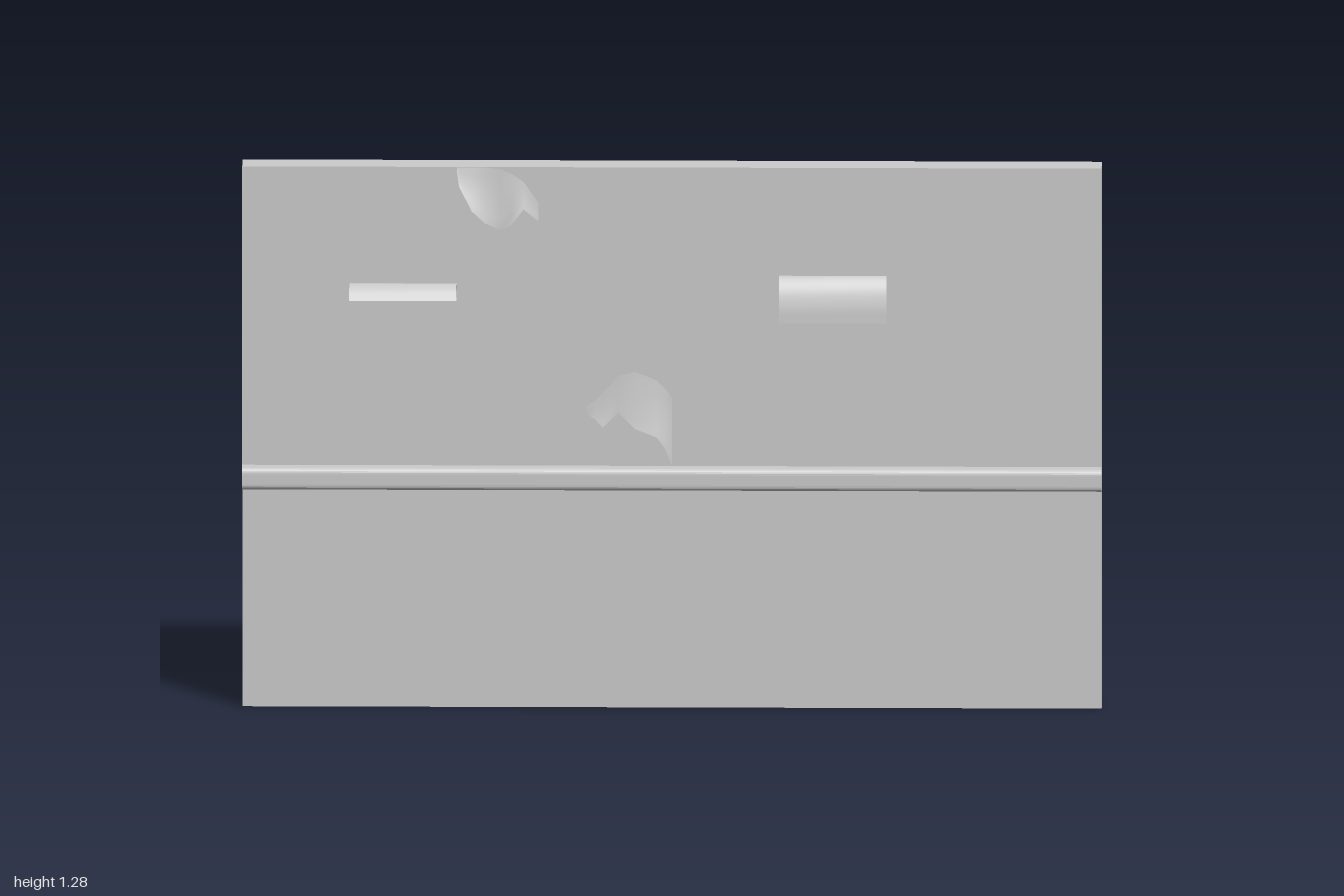
import * as THREE from 'three';

const grey = new THREE.MeshStandardMaterial({ color: 0xcccccc });
const sheetGrey = new THREE.MeshStandardMaterial({ color: 0xcccccc, side: THREE.DoubleSide });

function add(group, name, geometry, material = grey) {
  const mesh = new THREE.Mesh(geometry, material);
  mesh.name = name;
  group.add(mesh);
  return mesh;
}

// Box given by its low and high corners
function boxBetween(a, b) {
  const g = new THREE.BoxGeometry(b[0] - a[0], b[1] - a[1], b[2] - a[2]);
  return g.translate((a[0] + b[0]) / 2, (a[1] + b[1]) / 2, (a[2] + b[2]) / 2);
}

// Smooth sheet through rows of equally many points
function sheet(rows) {
  const n = rows[0].length;
  const index = [];
  for (let r = 0; r < rows.length - 1; r++) {
    for (let i = 0; i < n - 1; i++) {
      const a = r * n + i, b = a + 1, c = a + n, d = c + 1;
      index.push(a, b, d, a, d, c);
    }
  }
  const g = new THREE.BufferGeometry();
  g.setAttribute('position', new THREE.Float32BufferAttribute(rows.flat(2), 3));
  g.setIndex(index);
  g.computeVertexNormals();
  return g;
}

// Strip of paper curling off the wall; profile points are [z, y]
function curl(x0, x1, profile) {
  const curve = new THREE.CatmullRomCurve3(profile.map(([z, y]) => new THREE.Vector3(0, y, z)));
  const pts = curve.getPoints(20).reverse();
  return sheet(pts.map(p => [[x0, p.y, p.z], [x1, p.y, p.z]]));
}

// Torn paper: a raised ragged lower edge that blends into the wall above it
function tear(edge, topY) {
  const steps = 6;
  const rows = [];
  for (let r = 0; r <= steps; r++) {
    const t = r / steps;
    rows.push(edge.map(([x, y, z], i) => [
      x, y + (topY[i] - y) * t, 0.001 + z * (1 - t) * (1 - 0.3 * t),
    ]));
  }
  return sheet(rows);
}

export function createModel() {
  const model = new THREE.Group();
  model.name = 'wallPanel';

  // Wall: the upper part stands slightly proud of the lower part
  add(model, 'lowerWall', boxBetween([-1, 0, -0.083], [1, 0.55, -0.02]));
  add(model, 'upperWall', boxBetween([-1, 0.55, -0.083], [1, 1.285, 0]));

  // Rail with a rounded front, extruded along x
  const y0 = 0.525, y1 = 0.577, front = 0.044, back = -0.03, r = 0.014;
  const s = new THREE.Shape();
  s.moveTo(-back, y0);
  s.lineTo(-front + r, y0);
  s.quadraticCurveTo(-front, y0, -front, y0 + r);
  s.lineTo(-front, y1 - r);
  s.quadraticCurveTo(-front, y1, -front + r, y1);
  s.lineTo(-back, y1);
  s.closePath();
  const railGeo = new THREE.ExtrudeGeometry(s, { depth: 2, bevelEnabled: false, curveSegments: 6 });
  railGeo.rotateY(Math.PI / 2).translate(-1, 0, 0);
  add(model, 'rail', railGeo);

  // Two curled paper strips
  add(model, 'leftCurl', curl(-0.75, -0.5,
    [[0, 0.975], [0.01, 1.0], [0.032, 1.015], [0.06, 1.008], [0.083, 0.983]]), sheetGrey);
  add(model, 'rightCurl', curl(0.25, 0.5,
    [[0, 0.99], [0.009, 1.02], [0.03, 1.035], [0.054, 1.012], [0.067, 0.97], [0.07, 0.93]]), sheetGrey);

  // Ragged tears, each edge point is [x, y, lift from the wall]
  add(model, 'upperTear', tear(
    [[-0.5, 1.275, 0.003], [-0.495, 1.24, 0.012], [-0.465, 1.185, 0.028], [-0.435, 1.155, 0.018],
      [-0.4, 1.137, 0.008], [-0.375, 1.15, 0.02], [-0.345, 1.187, 0.012], [-0.31, 1.155, 0.0]],
    [1.284, 1.284, 1.284, 1.284, 1.28, 1.27, 1.25, 1.2]), sheetGrey);
  add(model, 'lowerTear', tear(
    [[-0.2, 0.7, 0], [-0.18, 0.69, 0.008], [-0.16, 0.67, 0.014], [-0.125, 0.705, 0.006],
      [-0.085, 0.668, 0.02], [-0.035, 0.648, 0.018], [-0.015, 0.62, 0.014], [0, 0.577, 0.0]],
    [0.72, 0.73, 0.75, 0.79, 0.8, 0.78, 0.76, 0.74]), sheetGrey);

  return model;
}
